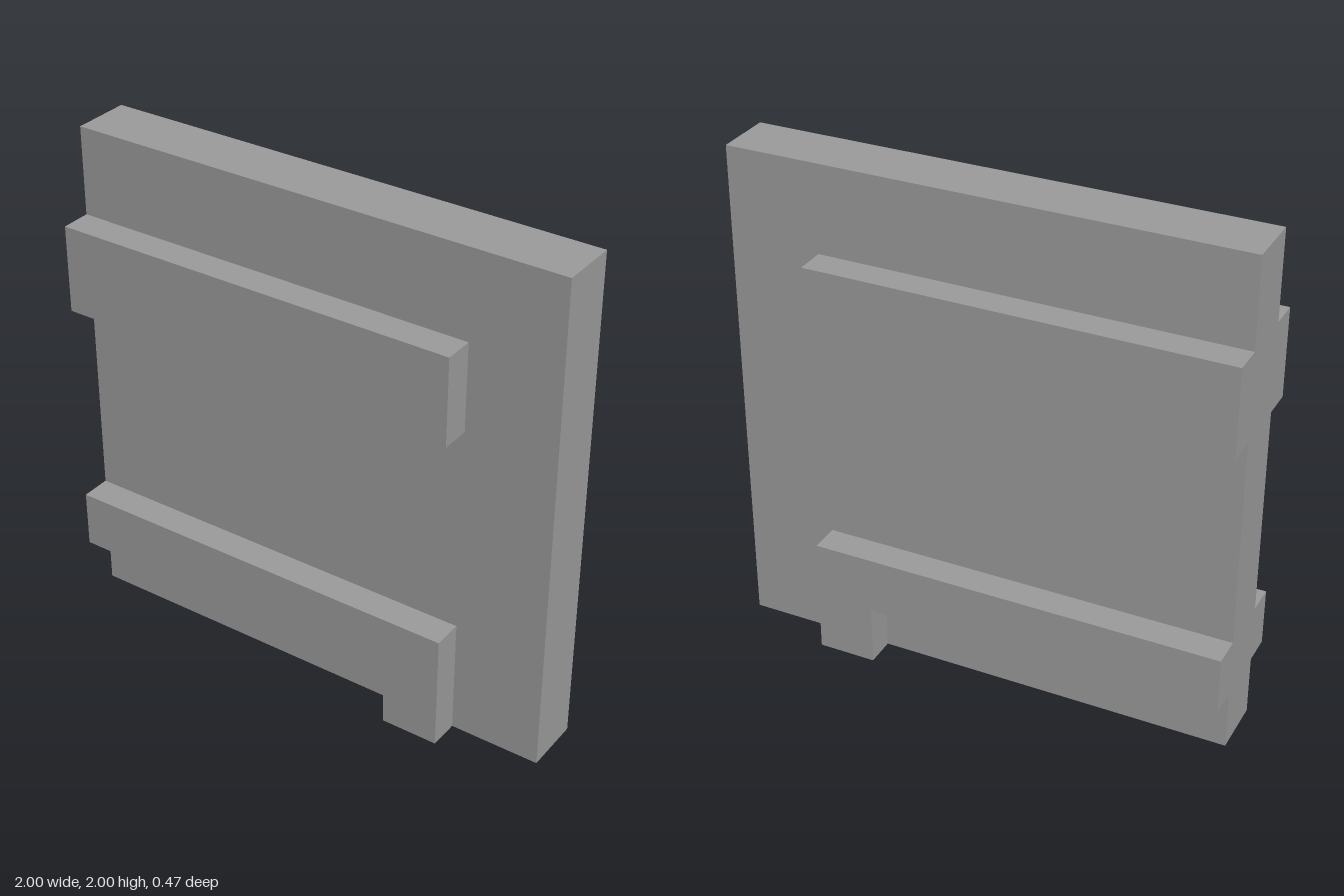
import * as THREE from 'three';

const HALF_SLAB = 0.115; // half thickness of the main panel
const RAIL_DEPTH = 0.12; // how far each rail stands out

export function createModel() {
  const model = new THREE.Group();
  model.name = 'railedPanel';
  const grey = new THREE.MeshStandardMaterial({ color: 0x9c9c9c });
  grey.name = 'grey';

  // Main upright panel
  const panel = new THREE.Mesh(new THREE.BoxGeometry(2, 2, HALF_SLAB * 2), grey);
  panel.name = 'panel';
  panel.position.y = 1;
  model.add(panel);

  // Rail outlines: a plain upper bar, and a lower bar with a foot at its end
  const outlines = {
    UpperRail: [[-1, 1.3], [0.64, 1.3], [0.64, 1.65], [-1, 1.65]],
    LowerRail: [[-1, 0.24], [0.41, 0.24], [0.41, 0], [0.64, 0], [0.64, 0.47], [-1, 0.47]],
  };

  // Same rails on both faces of the panel
  for (const [name, points] of Object.entries(outlines)) {
    const shape = new THREE.Shape(points.map(([x, y]) => new THREE.Vector2(x, y)));
    const geometry = new THREE.ExtrudeGeometry(shape, { depth: RAIL_DEPTH, bevelEnabled: false });
    for (const [side, z] of [['front', HALF_SLAB], ['back', -HALF_SLAB - RAIL_DEPTH]]) {
      const rail = new THREE.Mesh(geometry, grey);
      rail.name = side + name;
      rail.position.z = z;
      model.add(rail);
    }
  }
  return model;
}
